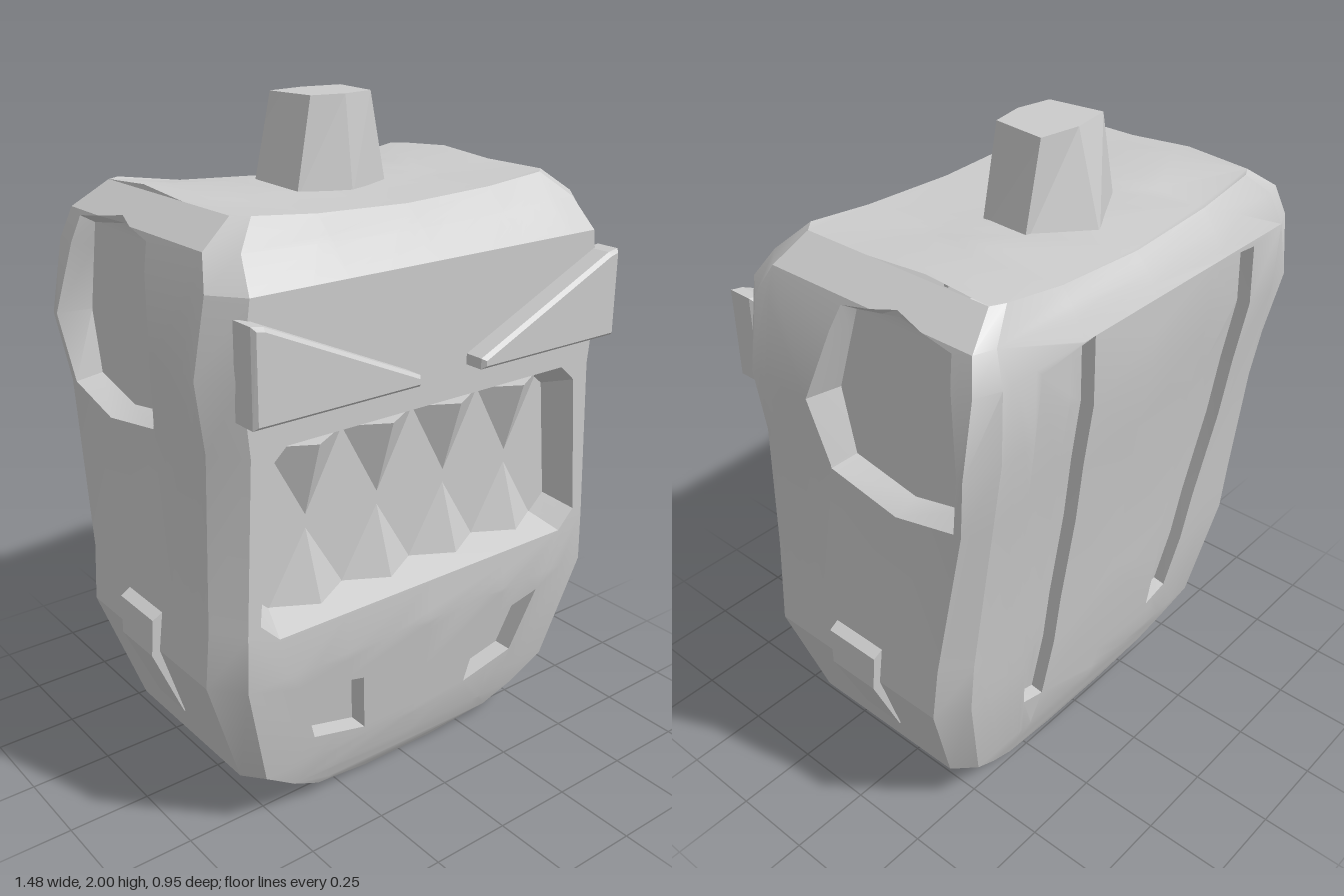
import * as THREE from 'three';
import { toCreasedNormals } from 'three/addons/utils/BufferGeometryUtils.js';

const V = (x, y, z) => new THREE.Vector3(x, y, z);
const material = new THREE.MeshStandardMaterial({ color: 0xcccccc, side: THREE.DoubleSide });
const CENTRE = V(0, 0.9, -0.03);

// Body levels: y, side x, front edge x, back edge x, front z, side front z, side back z, back z
const ROWS = [
  [0, 0.15, 0.13, 0.13, 0.28, 0.27, -0.22, -0.24],
  [0.045, 0.36, 0.34, 0.34, 0.31, 0.28, -0.23, -0.26],
  [0.1, 0.46, 0.44, 0.44, 0.33, 0.28, -0.24, -0.28],
  [0.18, 0.6, 0.55, 0.54, 0.35, 0.29, -0.25, -0.31],
  [0.53, 0.715, 0.64, 0.62, 0.41, 0.32, -0.31, -0.365],
  [0.7, 0.7, 0.635, 0.62, 0.41, 0.32, -0.32, -0.38],
  [1.2, 0.685, 0.61, 0.6, 0.41, 0.32, -0.41, -0.44],
  [1.4, 0.71, 0.63, 0.6, 0.41, 0.32, -0.445, -0.47],
  [1.61, 0.67, 0.6, 0.6, 0.41, 0.32, -0.445, -0.475],
  [1.7, 0.64, 0.575, 0.58, 0.34, 0.27, -0.42, -0.44],
  [1.77, 0.54, 0.5, 0.5, 0.275, 0.24, -0.38, -0.4],
];
const XS = 1, XF = 2, XB = 3, ZF = 4, ZSF = 5, ZSB = 6, ZB = 7;
const LEVELS = ROWS.map((r) => r[0]);
const COLUMNS = [-0.3, 0, 0.3];

// Value of a body column at any height
function at(y, col) {
  let i = 0;
  while (i < ROWS.length - 2 && y > ROWS[i + 1][0]) i++;
  const a = ROWS[i], b = ROWS[i + 1];
  return THREE.MathUtils.lerp(a[col], b[col], THREE.MathUtils.clamp((y - a[0]) / (b[0] - a[0]), 0, 1));
}

// Shallow saddle across the top of the head
function saddle(p) {
  const h = THREE.MathUtils.clamp((p.y - 1.61) / 0.16, 0, 1);
  p.y -= h * Math.max(0, 1 - (p.x / 0.5) ** 2) * (p.z < -0.2 ? 0.05 : 0.03);
  return p;
}

// Adds a triangle facing away from (or toward) a reference point
function face(out, a, b, c, ref, toward = false) {
  const n = b.clone().sub(a).cross(c.clone().sub(a));
  const outward = n.dot(a.clone().add(b).add(c).divideScalar(3).sub(ref)) > 0;
  out.push(...(outward !== toward ? [a, b, c] : [a, c, b]));
}

function meshFrom(points, name, crease = 0.4) {
  const geometry = toCreasedNormals(new THREE.BufferGeometry().setFromPoints(points), crease);
  const mesh = new THREE.Mesh(geometry, material);
  mesh.name = name;
  return mesh;
}

// Cuts flat triangles along one axis so that they can bend there
function slice(tris, axis, level) {
  return tris.flatMap((t) => {
    const d = t.map((p) => p[axis] - level);
    if (d.every((v) => v > -1e-6) || d.every((v) => v < 1e-6)) return [t];
    return [1, -1].flatMap((s) => {
      const poly = [];
      t.forEach((p, i) => {
        const j = (i + 1) % 3, q = t[j];
        if (d[i] * s >= 0) poly.push(p);
        if (d[i] * d[j] < 0) {
          const k = d[i] / (d[i] - d[j]);
          poly.push([p[0] + (q[0] - p[0]) * k, p[1] + (q[1] - p[1]) * k]);
        }
      });
      return poly.slice(2).map((p, i) => [poly[0], poly[i + 1], p]);
    });
  });
}

function fill(out, outline, holes, map, cuts) {
  const vec = (l) => l.map((p) => new THREE.Vector2(p[0], p[1]));
  const all = [outline, ...holes].flat();
  let tris = THREE.ShapeUtils.triangulateShape(vec(outline), holes.map(vec)).map((f) => f.map((i) => all[i]));
  cuts.forEach((levels, axis) => levels.forEach((l) => { tris = slice(tris, axis, l); }));
  tris.forEach((t) => face(out, ...t.map((p) => map(p[0], p[1])), CENTRE));
}

// Bent panel with sunken recesses: { pts, inset: [ku, kv], floor(u, v) }
function panel(name, outline, recesses, map, cuts) {
  const out = [];
  fill(out, outline, recesses.map((r) => r.pts), map, cuts);
  for (const { pts, inset = [1, 1], floor } of recesses) {
    const mid = [0, 1].map((k) => pts.reduce((s, p) => s + p[k], 0) / pts.length);
    const shrink = (p) => [0, 1].map((k) => mid[k] + (p[k] - mid[k]) * inset[k]);
    fill(out, pts.map(shrink), [], floor, cuts);
    const centre = map(...mid).add(floor(...mid)).multiplyScalar(0.5);
    pts.forEach((p, i) => {
      const q = pts[(i + 1) % pts.length];
      const ts = [0, 1];
      cuts.forEach((levels, a) => levels.forEach((l) => {
        const t = (l - p[a]) / (q[a] - p[a]);
        if (t > 0.001 && t < 0.999) ts.push(t);
      }));
      ts.sort((a, b) => a - b);
      const edge = ts.map((t) => [p[0] + (q[0] - p[0]) * t, p[1] + (q[1] - p[1]) * t]);
      for (let k = 0; k + 1 < edge.length; k++) {
        const [a, b] = [map(...edge[k]), map(...edge[k + 1])];
        const [c, d] = [floor(...shrink(edge[k])), floor(...shrink(edge[k + 1]))];
        face(out, a, b, c, centre, true);
        face(out, b, d, c, centre, true);
      }
    });
  }
  return meshFrom(out, name);
}

// Strip or closed band between two rows of points
function band(out, a, b, ref) {
  for (let i = 0; i + 1 < a.length; i++) {
    face(out, a[i], a[i + 1], b[i], ref);
    face(out, a[i + 1], b[i + 1], b[i], ref);
  }
}

const flip = (pts) => pts.map(([u, v]) => [-u, v]);
const mirrored = (half) => [...half, ...flip(half).reverse()];

export function createModel() {
  const model = new THREE.Group();
  model.name = 'head';

  // Front with mouth and chin recesses
  const front = (x, y) => saddle(V(x, y, at(y, ZF)));
  const mouthZ = 0.31;
  const mouth = {
    pts: mirrored([[0.535, 0.66], [0.595, 0.72], [0.555, 1.16], [0.5, 1.21]]),
    inset: [0.94, 0.86], floor: (x, y) => V(x, y, mouthZ),
  };
  const chin = [[0.46, 0.47], [0.23, 0.41], [0.2, 0.21], [0.39, 0.26]];
  const chinHoles = [chin, flip(chin)].map((pts) => ({ pts, floor: (x, y) => V(x, y, at(y, ZF) - 0.06) }));
  model.add(panel('front', mirrored(ROWS.map((r) => [r[XF], r[0]])), [mouth, ...chinHoles], front, [COLUMNS, LEVELS]));

  // Back with two long grooves
  const groove = [[0.26, 1.61], [0.46, 1.59], [0.48, 1.4], [0.46, 1.0], [0.36, 0.33], [0.27, 0.3], [0.24, 1.0], [0.25, 1.4]];
  const grooves = [groove, flip(groove)].map((pts) => ({ pts, inset: [0.97, 0.99], floor: (x, y) => V(x, y, at(y, ZB) + 0.04) }));
  model.add(panel('back', mirrored(ROWS.map((r) => [r[XB], r[0]])), grooves,
    (x, y) => saddle(V(x, y, at(y, ZB))), [COLUMNS, LEVELS]));

  // Sides with ear recess and lower pocket, and the chamfers beside them
  const ear = [[0.01, 1.68], [-0.16, 1.715], [-0.36, 1.685], [-0.425, 1.4], [-0.385, 1.2], [-0.18, 1.15], [0.06, 1.19], [0.105, 1.4]];
  const pocket = [[0.24, 0.012], [0.23, 0.15], [-0.2, 0.15], [-0.19, 0.012]];
  const sideOutline = [...ROWS.map((r) => [r[ZSF], r[0]]), ...ROWS.map((r) => [r[ZSB], r[0]]).reverse()];
  for (const s of [1, -1]) {
    const label = s > 0 ? 'left' : 'right';
    model.add(panel(label + 'Side', sideOutline, [
      { pts: ear, inset: [0.91, 0.92], floor: (z, y) => V(s * 0.61, y, z) },
      { pts: pocket, floor: (z, y) => V(s * (at(y, XS) - 0.04), y + 0.1, z) },
    ], (z, y) => V(s * at(y, XS), y, z), [[], LEVELS]));
    const line = (xc, zc) => ROWS.map((r) => saddle(V(s * r[xc], r[0], r[zc])));
    const chamfers = [];
    band(chamfers, line(XF, ZF), line(XS, ZSF), CENTRE);
    band(chamfers, line(XB, ZB), line(XS, ZSB), CENTRE);
    model.add(meshFrom(chamfers, label + 'Chamfers'));
  }

  // Top and bottom caps
  const cap = (r) => mirrored([[r[XB], r[ZB]], [r[XS], r[ZSB]], [r[XS], r[ZSF]], [r[XF], r[ZF]]]);
  const crown = (x, z) => saddle(V(x, 1.77 + 0.015 * Math.max(0, 1 - Math.abs(z + 0.18) / 0.2), z));
  model.add(panel('top', cap(ROWS[ROWS.length - 1]), [], crown, [COLUMNS, [-0.18, 0.02]]));
  model.add(panel('bottom', cap(ROWS[0]), [], (x, z) => V(x, 0, z), [[], []]));

  // Teeth: ridged pyramids on the mouth floor
  const teeth = [];
  for (const [base, tip] of [[1.172, 0.945], [0.7, 0.905]]) {
    for (const x of [-0.375, -0.125, 0.125, 0.375]) {
      const a = V(x - 0.125, base, mouthZ), b = V(x + 0.125, base, mouthZ);
      const c = V(x, tip, mouthZ), peak = V(x, base, mouthZ + 0.07);
      const inside = V(x, base * 0.75 + tip * 0.25, mouthZ + 0.01);
      [[a, b], [b, c], [c, a]].forEach(([p, q]) => face(teeth, p, q, peak, inside));
    }
  }
  model.add(meshFrom(teeth, 'teeth', 0.05));

  // Angry brows and side tabs
  const brow = [[0.63, 1.31], [0.63, 1.55], [0.605, 1.545], [0.12, 1.325], [0.12, 1.31]];
  const tab = [[0.6, 0.28], [0.64, 0.29], [0.74, 0.52], [0.735, 0.635], [0.69, 0.66]];
  for (const s of [1, -1]) {
    const label = s > 0 ? 'left' : 'right';
    const extrude = (pts, options) => new THREE.ExtrudeGeometry(
      new THREE.Shape(pts.map(([x, y]) => new THREE.Vector2(s * x, y))), options);
    const browMesh = new THREE.Mesh(extrude(brow, {
      depth: 0.075, bevelEnabled: true, bevelSize: 0.01, bevelThickness: 0.012, bevelSegments: 1,
    }).translate(0, 0, 0.393), material);
    browMesh.name = label + 'Brow';
    const tabGeo = extrude(tab, { depth: 1, bevelEnabled: false });
    const p = tabGeo.attributes.position;
    for (let i = 0; i < p.count; i++) {
      const half = 0.07 + (p.getY(i) - 0.28) * 0.06;
      p.setZ(i, -0.012 + (p.getZ(i) - 0.5) * 2 * half);
    }
    tabGeo.computeVertexNormals();
    const tabMesh = new THREE.Mesh(tabGeo, material);
    tabMesh.name = label + 'Tab';
    model.add(browMesh, tabMesh);
  }

  // Tapered six-sided stub on top
  const low = [[0, -0.28], [0.19, -0.18], [0.16, -0.01], [0, 0.04], [-0.16, -0.01], [-0.19, -0.18]];
  const high = [[0, -0.2], [0.125, -0.18], [0.105, -0.015], [0, 0.005], [-0.105, -0.015], [-0.125, -0.18]];
  const ring = (pts, y) => [...pts, pts[0]].map(([x, z]) => V(x, y, z));
  const stub = [], axis = V(0, 1.85, -0.1), rim = ring(high, 2);
  band(stub, ring(low, 1.72), rim, axis);
  for (let i = 0; i < 6; i++) face(stub, rim[i], rim[i + 1], V(0, 2, -0.1), axis);
  model.add(meshFrom(stub, 'topStub', 0.1));

  return model;
}
